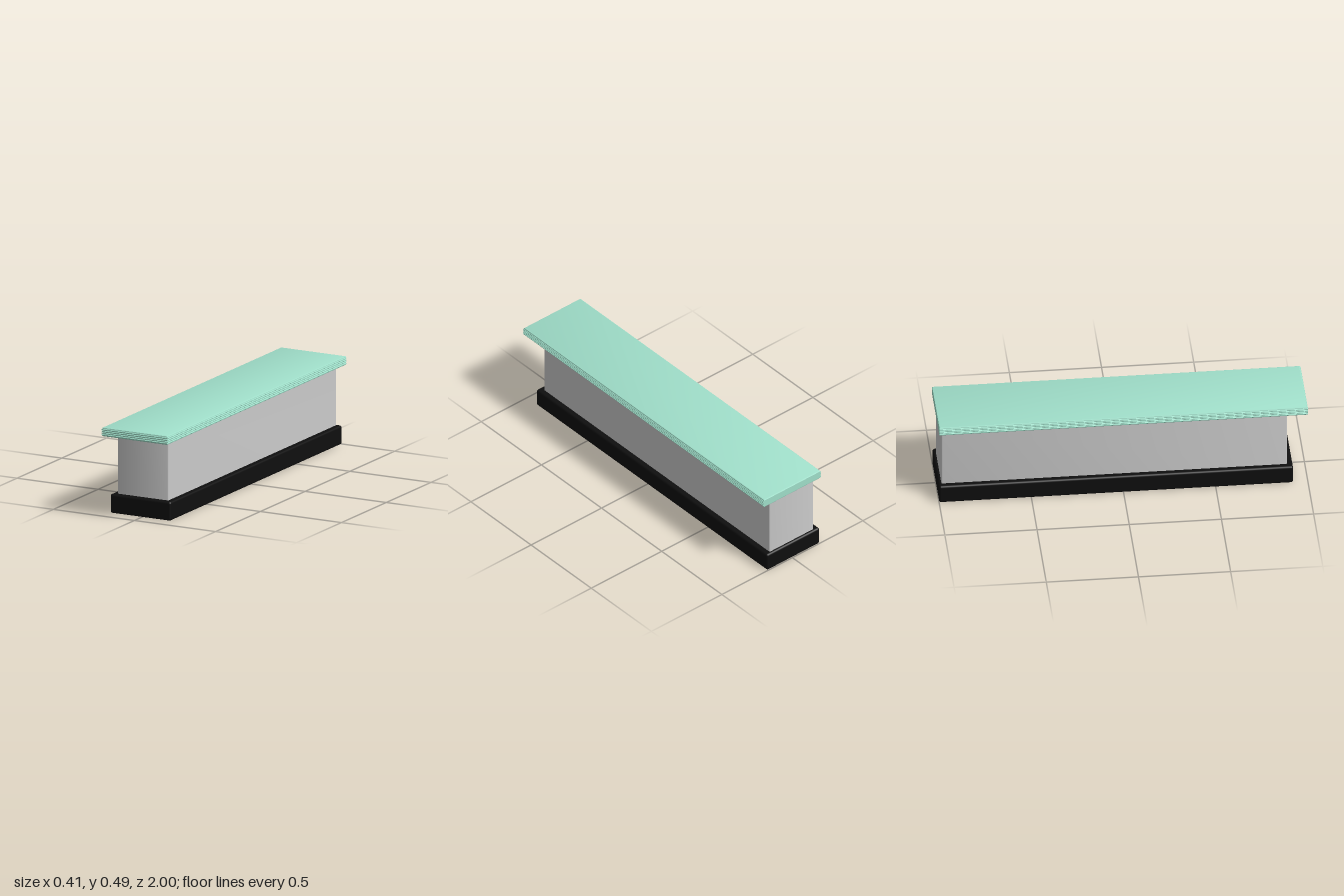
import * as THREE from 'three';
import { RoundedBoxGeometry } from 'three/addons/geometries/RoundedBoxGeometry.js';
import { toCreasedNormals } from 'three/addons/utils/BufferGeometryUtils.js';

const green = new THREE.MeshStandardMaterial({ color: 0xa0dfca });
const grey = new THREE.MeshStandardMaterial({ color: 0xcccccc });
const black = new THREE.MeshStandardMaterial({ color: 0x0f0f0f });

function addPart(group, name, geometry, material) {
  const mesh = new THREE.Mesh(geometry, material);
  mesh.name = name;
  group.add(mesh);
  return mesh;
}

// Rounded rectangle in x / z, extruded up from y0 to y1
function roundedColumn(x0, x1, z0, z1, y0, y1, r) {
  const s = new THREE.Shape();
  s.absarc(x1 - r, -z0 - r, r, 0, Math.PI / 2);
  s.absarc(x0 + r, -z0 - r, r, Math.PI / 2, Math.PI);
  s.absarc(x0 + r, -z1 + r, r, Math.PI, Math.PI * 1.5);
  s.absarc(x1 - r, -z1 + r, r, Math.PI * 1.5, Math.PI * 2);
  s.closePath();
  const g = new THREE.ExtrudeGeometry(s, { depth: y1 - y0, bevelEnabled: false, curveSegments: 5 });
  g.rotateX(-Math.PI / 2).translate(0, y0, 0);
  return toCreasedNormals(g, 0.6);
}

// Slab stacked from rectangles; its edge is ridged on the sides and front, plain at the back
function ridgedSlab() {
  const profile = [[0.443, -0.005], [0.4445, -0.0015], [0.448, 0]];
  for (const y of [0.4525, 0.462, 0.472, 0.482]) {
    profile.push([y - 0.004, 0], [y - 0.002, 0.0035], [y, 0.0045], [y + 0.002, 0.0035], [y + 0.004, 0]);
  }
  profile.push([0.489, 0], [0.4915, -0.0015], [0.493, -0.005]);

  const positions = [], index = [];
  for (const [y, out] of profile) {
    const x = 0.2 + out, front = 0.9955 + out, back = -1 - Math.min(out, 0);
    positions.push(-x, y, front, x, y, front, x, y, back, -x, y, back);
  }
  for (let i = 0; i < profile.length - 1; i++) {
    for (let j = 0; j < 4; j++) {
      const a = i * 4 + j, b = i * 4 + (j + 1) % 4;
      index.push(a, b, b + 4, a, b + 4, a + 4);
    }
  }
  const t = (profile.length - 1) * 4;
  index.push(0, 2, 1, 0, 3, 2, t, t + 1, t + 2, t, t + 2, t + 3);

  const g = new THREE.BufferGeometry();
  g.setAttribute('position', new THREE.Float32BufferAttribute(positions, 3));
  g.setIndex(index);
  return toCreasedNormals(g, 0.5);
}

export function createModel() {
  const model = new THREE.Group();
  model.name = 'counter';

  // Dark plinth, set back from the front
  const plinth = addPart(model, 'plinth', new RoundedBoxGeometry(0.373, 0.105, 1.92, 3, 0.012), black);
  plinth.position.set(-0.0085, 0.0525, -0.04);

  // Plain body with softly rounded upright corners
  addPart(model, 'body', roundedColumn(-0.163, 0.148, -0.985, 0.89, 0.1, 0.446, 0.006), grey);

  // Overhanging worktop
  addPart(model, 'worktop', ridgedSlab(), green);

  return model;
}
